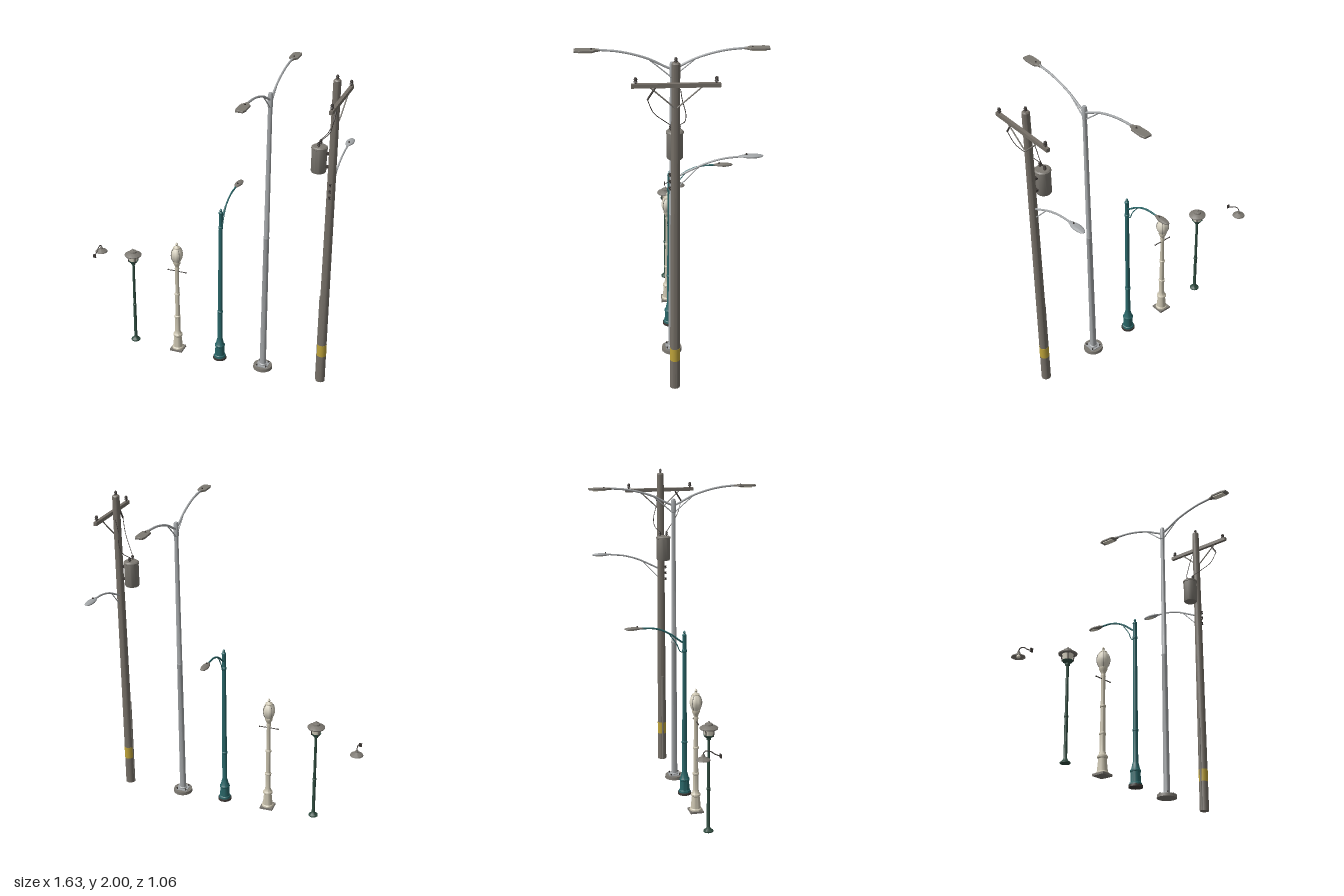
import * as THREE from 'three';
import { toCreasedNormals } from 'three/addons/utils/BufferGeometryUtils.js';

const mat = (name, color, side = THREE.FrontSide) => {
  const m = new THREE.MeshStandardMaterial({ color, side });
  m.name = name;
  return m;
};

export function createModel() {
  const wood = mat('weathered wood', 0x756f67);
  const steel = mat('galvanised steel', 0xa3a6a8);
  const grey = mat('warm grey metal', 0x7c7871, THREE.DoubleSide);
  const teal = mat('teal paint', 0x286466);
  const green = mat('dark green paint', 0x2f4b3f);
  const cream = mat('cream paint', 0xc9c2ae);
  const glass = mat('pale glass', 0xd9d3c2);
  const dark = mat('dark iron', 0x3f3a37);
  const yellow = mat('yellow band', 0xbda23a);

  const model = new THREE.Group();
  model.name = 'streetLights';

  // ---- helpers ----
  const group = (name, x) => {
    const g = new THREE.Group();
    g.name = name;
    g.position.x = x;
    model.add(g);
    return g;
  };
  const add = (g, name, geo, m, x = 0, y = 0, z = 0) => {
    const mesh = new THREE.Mesh(geo, m);
    mesh.name = name;
    mesh.position.set(x, y, z);
    g.add(mesh);
    return mesh;
  };
  const lathe = (pts, seg = 24) => toCreasedNormals(
    new THREE.LatheGeometry(pts.map(p => new THREE.Vector2(p[0], p[1])), seg), 0.6);
  const tube = (pts, r, seg = 20) => new THREE.TubeGeometry(
    new THREE.CatmullRomCurve3(pts.map(p => new THREE.Vector3(...p))), seg, r, 8);
  const box = (w, h, d) => new THREE.BoxGeometry(w, h, d);
  const cyl = (r0, r1, h, seg = 16) => new THREE.CylinderGeometry(r1, r0, h, seg);
  // leaf-shaped lamp head running from z = 0 towards -z
  const leaf = (len, w, h) => lathe([[0, 0], [0.28, 0.01], [0.55, 0.15], [0.85, 0.32], [1, 0.52],
    [0.92, 0.72], [0.65, 0.9], [0.3, 0.98], [0, 1]].map(([r, t]) => [r * w, t * len]))
    .rotateX(-Math.PI / 2).scale(1, h / w, 1);
  const leafHead = (g, y, z, len, w, m) => {
    add(g, 'lampHead', leaf(len, w, 0.01), m, 0, y, z);
    add(g, 'lens', leaf(len * 0.6, w * 0.7, 0.007), glass, 0, y - 0.005, z - len * 0.28);
    add(g, 'lightSensor', cyl(0.005, 0.004, 0.008), dark, 0, y + 0.011, z - len * 0.32);
  };
  const insulator = (g, x, y, z, s = 1) => add(g, 'insulator', lathe([[0, 0], [0.005, 0], [0.005, 0.008],
    [0.011, 0.01], [0.007, 0.018], [0.01, 0.022], [0.007, 0.032], [0, 0.036]]
    .map(p => [p[0] * s, p[1] * s]), 14), dark, x, y, z);

  // ---- wall lamp ----
  const wall = group('wallLamp', -0.775);
  add(wall, 'wallPlate', box(0.018, 0.022, 0.008), dark, 0, 0.57, -0.006);
  add(wall, 'gooseneck', tube([[0, 0.57, -0.008], [0, 0.582, -0.035], [0, 0.602, -0.065],
    [0, 0.607, -0.09], [0, 0.598, -0.103], [0, 0.58, -0.105]], 0.003), dark);
  add(wall, 'shade', lathe([[0.04, 0.555], [0.037, 0.561], [0.022, 0.569], [0.011, 0.575],
    [0.008, 0.587], [0, 0.589]]), grey, 0, 0, -0.105);
  add(wall, 'bulb', new THREE.SphereGeometry(0.011, 14, 10), glass, 0, 0.559, -0.105);

  // ---- garden lamp ----
  const garden = group('gardenLamp', -0.495);
  add(garden, 'post', lathe([[0, 0], [0.029, 0], [0.029, 0.007], [0.02, 0.013], [0.013, 0.022],
    [0.01, 0.03], [0.01, 0.26], [0.012, 0.262], [0.012, 0.272], [0.009, 0.275], [0.008, 0.565],
    [0.014, 0.57], [0.014, 0.58], [0.026, 0.588], [0.032, 0.598], [0, 0.6]]), green);
  add(garden, 'glass', lathe([[0, 0.598], [0.026, 0.598], [0.032, 0.637], [0, 0.638]]), glass);
  for (let i = 0; i < 4; i++) {
    const a = Math.PI / 4 + i * Math.PI / 2, c = Math.cos(a), s = Math.sin(a);
    add(garden, 'cageBar', tube([[c * 0.031, 0.592, s * 0.031], [c * 0.037, 0.638, s * 0.037]], 0.003, 2), dark);
  }
  add(garden, 'shade', lathe([[0, 0.635], [0.053, 0.635], [0.054, 0.641], [0.04, 0.65], [0.024, 0.656],
    [0.022, 0.665], [0.008, 0.67], [0.004, 0.679], [0, 0.681]]), grey);

  // ---- ornate lantern ----
  const ornate = group('ornateLamp', -0.192);
  add(ornate, 'squareFoot', box(0.082, 0.012, 0.082), grey, 0, 0.006);
  add(ornate, 'column', lathe([[0, 0.011], [0.038, 0.012], [0.037, 0.02], [0.031, 0.026], [0.03, 0.04],
    [0.024, 0.1], [0.03, 0.106], [0.03, 0.116], [0.022, 0.124], [0.017, 0.145], [0.017, 0.24], [0.02, 0.243],
    [0.02, 0.252], [0.015, 0.256], [0.014, 0.405], [0.018, 0.408], [0.018, 0.418], [0.013, 0.422],
    [0.012, 0.585], [0.015, 0.6], [0.012, 0.612], [0.018, 0.628], [0.024, 0.64], [0.024, 0.652], [0, 0.653]]), cream);
  add(ornate, 'ladderBar', cyl(0.003, 0.003, 0.116, 10).rotateZ(Math.PI / 2), dark, 0, 0.58);
  for (const s of [-1, 1]) add(ornate, 'barEnd', new THREE.SphereGeometry(0.005, 10, 8), dark, s * 0.06, 0.58);
  add(ornate, 'globe', lathe([[0, 0.65], [0.022, 0.651], [0.032, 0.67], [0.038, 0.692], [0.038, 0.708],
    [0.032, 0.73], [0.019, 0.748], [0, 0.749]]), glass);
  for (let i = 0; i < 4; i++) {
    const a = Math.PI / 4 + i * Math.PI / 2;
    add(ornate, 'globeRib', tube([[0.022, 0.651], [0.033, 0.67], [0.039, 0.7], [0.033, 0.73], [0.019, 0.749]]
      .map(([r, y]) => [r * Math.cos(a), y, r * Math.sin(a)]), 0.002), grey);
  }
  add(ornate, 'cap', lathe([[0, 0.745], [0.023, 0.745], [0.022, 0.751], [0.012, 0.757], [0.006, 0.764],
    [0.009, 0.772], [0.004, 0.779], [0, 0.787]]), cream);

  // ---- teal single-arm lamp ----
  const single = group('singleArmLamp', 0.1);
  add(single, 'foot', cyl(0.043, 0.042, 0.014, 24), dark, 0, 0.007);
  add(single, 'column', lathe([[0, 0.013], [0.038, 0.014], [0.036, 0.026], [0.031, 0.03], [0.029, 0.09],
    [0.032, 0.094], [0.032, 0.102], [0.026, 0.11], [0.02, 0.138], [0.016, 0.15], [0.0155, 0.34], [0.018, 0.343],
    [0.018, 0.352], [0.015, 0.355], [0.012, 0.935], [0.015, 0.938], [0.015, 0.95], [0.012, 0.953], [0.012, 1.035],
    [0.014, 1.038], [0.013, 1.046], [0.006, 1.052], [0.008, 1.06], [0.004, 1.068], [0, 1.072]]), teal);
  add(single, 'arm', tube([[0, 0.99, 0], [0, 1.01, -0.03], [0, 1.05, -0.082], [0, 1.083, -0.145],
    [0, 1.097, -0.2], [0, 1.1, -0.27]], 0.0055, 28), teal);
  add(single, 'armBrace', tube([[0, 0.937, -0.008], [0, 0.94, -0.026], [0, 0.99, -0.05],
    [0, 1.06, -0.1]], 0.003), teal);
  leafHead(single, 1.101, -0.257, 0.118, 0.023, grey);

  // ---- tall twin-arm lamp ----
  const twin = group('twinArmLamp', 0.392);
  add(twin, 'baseFlange', cyl(0.061, 0.059, 0.02, 32), grey, 0, 0.01);
  add(twin, 'basePlate', box(0.074, 0.006, 0.074), steel, 0, 0.022);
  for (const x of [-1, 1]) for (const z of [-1, 1])
    add(twin, 'anchorBolt', cyl(0.005, 0.005, 0.01, 6), dark, x * 0.029, 0.029, z * 0.029);
  add(twin, 'mast', lathe([[0, 0.02], [0.026, 0.02], [0.025, 0.032], [0.02, 0.036], [0.0165, 0.92],
    [0.0175, 0.922], [0.0175, 0.932], [0.0162, 0.934], [0.0125, 1.76], [0.0155, 1.764], [0.0155, 1.83],
    [0.011, 1.846], [0, 1.85]]), steel);
  // tapered-end lamp head outline, laid flat
  const outline = new THREE.Shape([[-0.006, 0], [-0.012, 0.02], [-0.025, 0.034], [-0.027, 0.11], [-0.02, 0.137],
    [0.02, 0.137], [0.027, 0.11], [0.025, 0.034], [0.012, 0.02], [0.006, 0]].map(p => new THREE.Vector2(...p)));
  const headGeo = new THREE.ExtrudeGeometry(outline, { depth: 0.004, bevelSize: 0.002, bevelThickness: 0.004, bevelSegments: 2 })
    .rotateX(-Math.PI / 2);
  for (const turn of [0, Math.PI]) {
    const side = new THREE.Group();
    side.name = 'armAssembly';
    side.rotation.y = turn;
    twin.add(side);
    add(side, 'arm', tube([[0, 1.805, 0], [0, 1.825, -0.045], [0, 1.863, -0.12], [0, 1.893, -0.21],
      [0, 1.912, -0.3], [0, 1.921, -0.4]], 0.0065, 28), steel);
    add(side, 'armBrace', tube([[0, 1.765, -0.01], [0, 1.795, -0.045], [0, 1.862, -0.125]], 0.0035), steel);
    add(side, 'lampHead', headGeo, grey, 0, 1.917, -0.39);
    add(side, 'lens', box(0.04, 0.006, 0.075), glass, 0, 1.911, -0.468);
    add(side, 'lightSensor', cyl(0.005, 0.004, 0.007), dark, 0, 1.927, -0.435);
  }

  // ---- wooden utility pole ----
  const pole = group('utilityPole', 0.77);
  add(pole, 'pole', lathe([[0, 0], [0.029, 0], [0.022, 1.965], [0.017, 1.972], [0, 1.973]], 20), wood);
  insulator(pole, 0, 1.968, 0, 0.9);
  add(pole, 'conduit', cyl(0.007, 0.007, 0.6, 12), grey, -0.026, 0.3);
  add(pole, 'markerBand', cyl(0.0292, 0.029, 0.08, 24), yellow, 0, 0.226);
  // crossarm with braces and insulators
  add(pole, 'crossarm', box(0.02, 0.022, 0.455), wood, 0.031, 1.861);
  for (const s of [-1, 1]) {
    insulator(pole, 0.031, 1.872, s * 0.205);
    add(pole, 'crossarmBrace', tube([[0.022, 1.735, s * 0.006], [0.034, 1.855, s * 0.135]], 0.004, 2), grey);
  }
  // transformer tank, hangers and bushings
  add(pole, 'transformer', lathe([[0, 1.412], [0.041, 1.412], [0.044, 1.418], [0.044, 1.553], [0.047, 1.555],
    [0.047, 1.564], [0.04, 1.57], [0, 1.574]], 28), grey, -0.08);
  for (const y of [1.45, 1.53]) add(pole, 'hanger', box(0.04, 0.012, 0.022), dark, -0.028, y);
  for (const z of [-0.022, 0.022]) insulator(pole, -0.08, 1.57, z, 0.9);
  // service insulators on the front of the pole
  for (const y of [1.27, 1.31, 1.35])
    add(pole, 'spool', lathe([[0, -0.009], [0.008, -0.008], [0.005, 0], [0.008, 0.008], [0, 0.009]], 12), dark, 0, y, 0.031);
  // fuse and drop wires
  add(pole, 'fuse', tube([[0.03, 1.785, 0.146], [0.03, 1.85, 0.105]], 0.005, 2), dark);
  add(pole, 'frontWire', tube([[-0.08, 1.6, 0.022], [-0.045, 1.64, 0.06], [0.005, 1.705, 0.115],
    [0.03, 1.785, 0.146]], 0.002), dark);
  add(pole, 'rearWire', tube([[-0.08, 1.6, -0.022], [-0.05, 1.63, -0.05], [-0.03, 1.68, -0.054],
    [-0.02, 1.76, -0.035], [0.0, 1.83, -0.024]], 0.002), dark);
  // street-light arm
  add(pole, 'arm', tube([[0, 1.345, -0.02], [0, 1.375, -0.08], [0, 1.412, -0.16], [0, 1.438, -0.25],
    [0, 1.448, -0.34]], 0.0055, 24), steel);
  add(pole, 'armBrace', tube([[0, 1.285, -0.02], [0, 1.395, -0.125]], 0.003, 2), steel);
  leafHead(pole, 1.45, -0.33, 0.132, 0.025, steel);

  return model;
}
